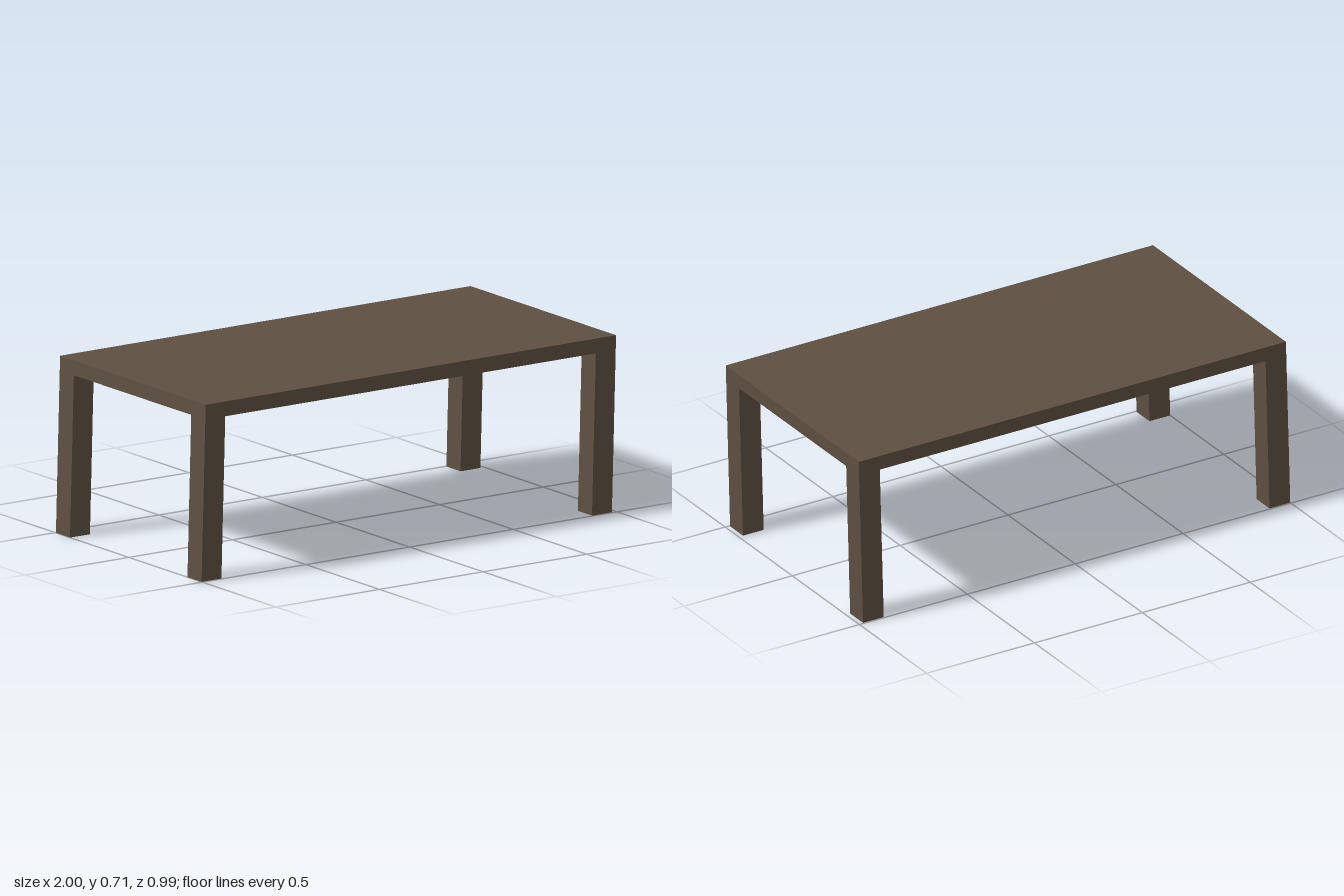
import * as THREE from 'three';

const HEIGHT = 0.715, SLAB = 0.06, LENGTH = 1.98, DEPTH = 0.99, LEG = 0.096;
const LEAN = 0.02; // sideways drift towards +x from floor to top

// Box standing on y = bottom, sheared so the whole table leans slightly to +x
function leaningBox(name, material, [w, h, d], [x, bottom, z]) {
  const geometry = new THREE.BoxGeometry(w, h, d).translate(x, bottom + h / 2, z);
  const shear = new THREE.Matrix4().set(
    1, LEAN / HEIGHT, 0, -LEAN / 2,
    0, 1, 0, 0,
    0, 0, 1, 0,
    0, 0, 0, 1,
  );
  geometry.applyMatrix4(shear);
  geometry.computeVertexNormals();
  const mesh = new THREE.Mesh(geometry, material);
  mesh.name = name;
  return mesh;
}

export function createModel() {
  const table = new THREE.Group();
  table.name = 'table';
  const darkWood = new THREE.MeshStandardMaterial({ color: 0x5e5042 });
  darkWood.name = 'darkWood';

  // Flat top
  const legHeight = HEIGHT - SLAB;
  table.add(leaningBox('tableTop', darkWood, [LENGTH, SLAB, DEPTH], [0, legHeight, 0]));

  // Four square legs, flush with the corners of the top
  for (const [side, sx] of [['Left', 1], ['Right', -1]]) {
    for (const [end, sz] of [['front', 1], ['back', -1]]) {
      const x = sx * (LENGTH - LEG) / 2;
      const z = sz * (DEPTH - LEG) / 2;
      table.add(leaningBox(`${end}${side}Leg`, darkWood, [LEG, legHeight, LEG], [x, 0, z]));
    }
  }
  return table;
}
